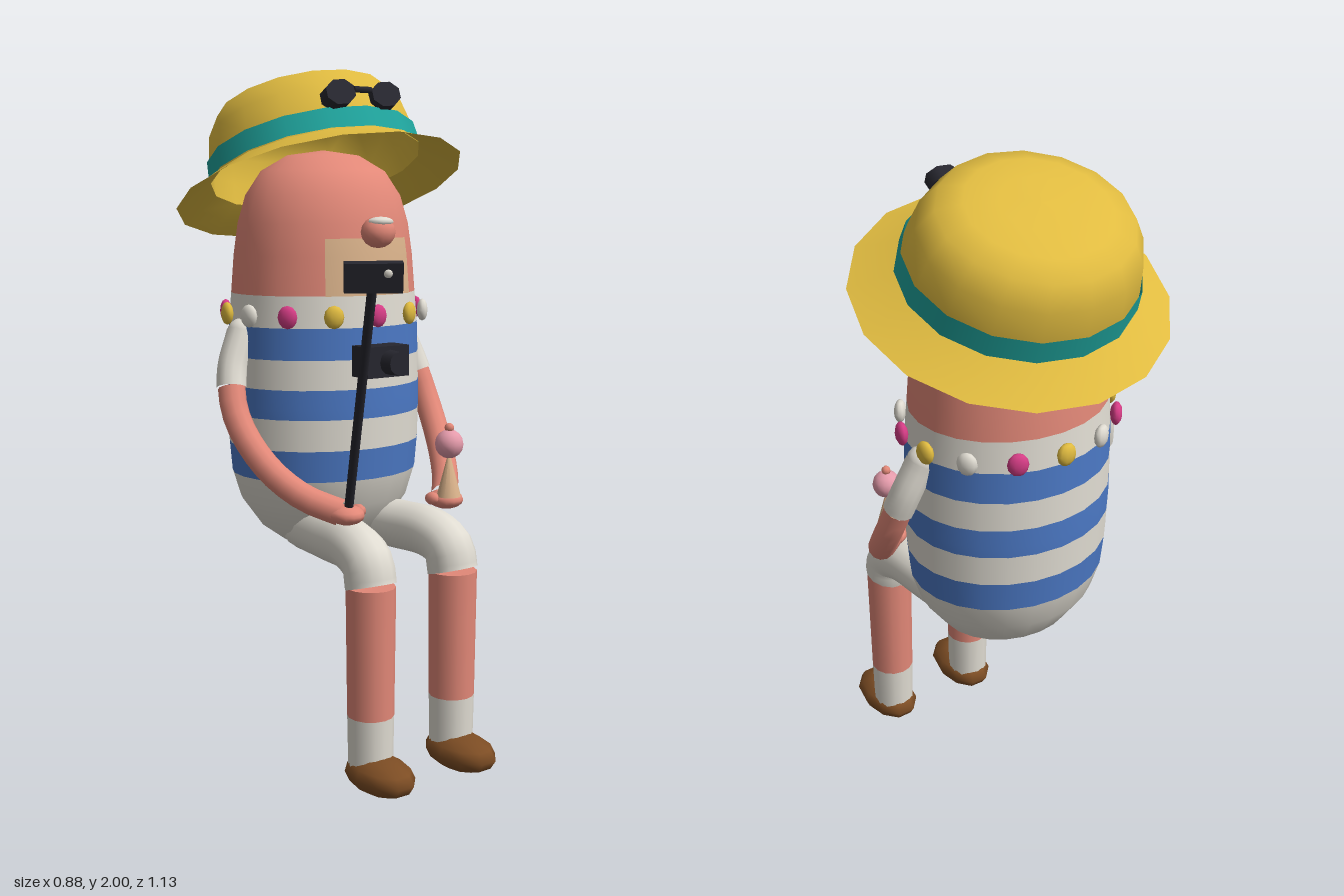
import * as THREE from 'three';

const mat = (name, color, side = THREE.FrontSide) => {
  const m = new THREE.MeshStandardMaterial({ color, side });
  m.name = name;
  return m;
};

export function createModel() {
  const straw = mat('straw yellow', 0xe0bb40, THREE.DoubleSide);
  const teal = mat('teal', 0x1fa39c, THREE.DoubleSide);
  const skin = mat('sunburnt skin', 0xe28878);
  const white = mat('off white', 0xe0dcd2);
  const blue = mat('stripe blue', 0x4b78c4);
  const dark = mat('near black', 0x26262e);
  const brown = mat('shoe brown', 0x7d4d24);
  const magenta = mat('flower pink', 0xd63d86);
  const tan = mat('tan', 0xdcb48c, THREE.DoubleSide);
  const icePink = mat('ice cream pink', 0xe59bab);

  const model = new THREE.Group();
  const V = (x, y, z) => new THREE.Vector3(x, y, z);

  const add = (name, geo, material, pos = [0, 0, 0], parent = model) => {
    const mesh = new THREE.Mesh(geo, material);
    mesh.name = name;
    mesh.position.set(...pos);
    parent.add(mesh);
    return mesh;
  };
  const ball = (name, material, pos, size, parent = model, seg = 14) => {
    const mesh = add(name, new THREE.SphereGeometry(1, seg, Math.max(6, seg * 0.6 | 0)), material, pos, parent);
    mesh.scale.set(...size);
    return mesh;
  };
  const lathe = (pts, seg, start = 0, sweep = Math.PI * 2) =>
    new THREE.LatheGeometry(pts.map(p => new THREE.Vector2(...p)), seg, start, sweep);

  // A tube along part of a curve
  const tubePart = (curve, t0, t1, radius) => {
    const pts = [];
    for (let i = 0; i <= 8; i++) pts.push(curve.getPoint(t0 + (t1 - t0) * i / 8));
    return new THREE.TubeGeometry(new THREE.CatmullRomCurve3(pts), 12, radius, 12);
  };
  // A straight rod between two points
  const rod = (name, a, b, radius, material, parent = model) => {
    const d = b.clone().sub(a);
    const mesh = add(name, new THREE.CylinderGeometry(radius, radius, d.length(), 8), material,
      a.clone().add(b).multiplyScalar(0.5).toArray(), parent);
    mesh.quaternion.setFromUnitVectors(V(0, 1, 0), d.normalize());
    return mesh;
  };

  // Body: one profile [radius, height] cut into coloured bands
  const profile = [[0, 0.59], [0.06, 0.598], [0.13, 0.625], [0.2, 0.675], [0.262, 0.76], [0.287, 0.84],
    [0.295, 0.93], [0.298, 1.05], [0.295, 1.19], [0.292, 1.28], [0.284, 1.37], [0.275, 1.48],
    [0.262, 1.57], [0.238, 1.65], [0.19, 1.72], [0.11, 1.765], [0, 1.78]];
  const radiusAt = y => {
    const i = Math.max(1, profile.findIndex(p => p[1] >= y));
    const [r0, y0] = profile[i - 1], [r1, y1] = profile[i];
    return r0 + (r1 - r0) * (y - y0) / (y1 - y0);
  };
  const slice = (y0, y1, grow = 0) => [[radiusAt(y0) + grow, y0],
    ...profile.filter(p => p[1] > y0 && p[1] < y1).map(p => [p[0] + grow, p[1]]),
    [radiusAt(y1) + grow, y1]];

  const body = new THREE.Group();
  body.name = 'body';
  body.position.z = -0.175;
  body.scale.z = 0.87;
  model.add(body);
  [['trunks', 0.59, 0.84, white], ['lowStripe', 0.84, 0.93, blue], ['lowGap', 0.93, 1.02, white],
    ['middleStripe', 1.02, 1.105, blue], ['upperGap', 1.105, 1.19, white], ['topStripe', 1.19, 1.28, blue],
    ['collar', 1.28, 1.37, white], ['head', 1.37, 1.78, skin]]
    .forEach(([name, y0, y1, m]) => add(name, lathe(slice(y0, y1), 24), m, [0, 0, 0], body));
  add('chinPatch', lathe(slice(1.37, 1.53, 0.01), 8, -0.53, 1.06), tan, [0, 0, 0], body);

  // Flower garland
  const flowers = [magenta, icePink, white];
  flowers[1] = straw;
  for (let i = 0; i < 14; i++) {
    const a = i / 14 * Math.PI * 2;
    ball('garlandFlower', flowers[i % 3], [0.308 * Math.sin(a), 1.313, -0.173 + 0.266 * Math.cos(a)],
      [0.029, 0.033, 0.017], model, 10).rotation.y = a;
  }

  // Nose with a dab of sun cream
  ball('nose', skin, [0, 1.548, 0.093], [0.052, 0.045, 0.045]);
  ball('sunCream', white, [0, 1.577, 0.103], [0.04, 0.014, 0.033], model, 10);

  // Sun hat, tilted back
  const hat = new THREE.Group();
  hat.name = 'hat';
  hat.position.set(0, 1.67, -0.187);
  hat.rotation.x = -0.384;
  model.add(hat);
  const shell = new THREE.Group();
  shell.name = 'hatShell';
  shell.scale.set(1.09, 1, 1);
  hat.add(shell);
  add('brim', lathe([[0.403, 0], [0.35, 0.028], [0.297, 0.062]], 16), straw, [0, 0, 0], shell);
  add('crown', lathe([[0.297, 0.06], [0.289, 0.125], [0.275, 0.2], [0.24, 0.262], [0.18, 0.287],
    [0.1, 0.298], [0, 0.302]], 16), straw, [0, 0, 0], shell);
  add('hatBand', lathe([[0.301, 0.064], [0.295, 0.126]], 16), teal, [0, 0, 0], shell);

  // Sunglasses resting on the crown
  const glasses = new THREE.Group();
  glasses.name = 'sunglasses';
  glasses.position.set(0, 0.163, 0.287);
  glasses.rotation.x = -0.12;
  hat.add(glasses);
  for (const s of [-1, 1]) {
    const lens = add('lens', new THREE.CylinderGeometry(1, 1, 0.035, 8), dark, [s * 0.079, 0, -0.008], glasses);
    lens.rotation.set(Math.PI / 2, Math.PI / 8, 0);
    lens.scale.set(0.056, 1, 0.04);
  }
  rod('bridge', V(-0.03, 0.012, 0.006), V(0.03, 0.012, 0.006), 0.009, dark, glasses);

  // Camera on the chest
  add('cameraBody', new THREE.BoxGeometry(0.145, 0.088, 0.075), dark, [-0.006, 1.188, 0.113]);
  add('cameraLens', new THREE.CylinderGeometry(0.033, 0.036, 0.045, 12), dark, [0, 1.186, 0.17]).rotation.x = Math.PI / 2;

  for (const s of [-1, 1]) {
    // Arm with short sleeve
    const arm = new THREE.CatmullRomCurve3([V(s * 0.282, 1.26, -0.185), V(s * 0.328, 1.15, -0.165),
      V(s * 0.345, 1.03, -0.115), V(s * 0.315, 0.9, -0.01), V(s * 0.255, 0.82, 0.09), V(s * 0.185, 0.782, 0.17)]);
    ball('shoulder', white, [s * 0.282, 1.26, -0.185], [0.042, 0.042, 0.042]);
    add('sleeve', tubePart(arm, 0, 0.27, 0.043), white);
    add('forearm', tubePart(arm, 0.27, 1, 0.039), skin);
    ball('hand', skin, [s * 0.178, 0.778, 0.185], [0.05, 0.028, 0.055]);
    ball('thumb', skin, [s * 0.133, 0.783, 0.18], [0.019, 0.019, 0.026], model, 8);

    // Bent leg: trouser, bare shin, sock, shoe
    const thigh = new THREE.CatmullRomCurve3([V(s * 0.1, 0.68, -0.13), V(s * 0.125, 0.682, 0.04),
      V(s * 0.14, 0.678, 0.17), V(s * 0.146, 0.645, 0.24), V(s * 0.147, 0.585, 0.257)]);
    add('trouserLeg', new THREE.TubeGeometry(thigh, 20, 0.073, 14), white);
    ball('hip', white, [s * 0.1, 0.68, -0.13], [0.073, 0.073, 0.073]);
    add('shin', new THREE.CylinderGeometry(0.07, 0.066, 0.37, 14), skin, [s * 0.147, 0.4, 0.257]);
    add('sock', new THREE.CylinderGeometry(0.066, 0.063, 0.16, 14), white, [s * 0.147, 0.138, 0.257]);
    ball('shoe', brown, [s * 0.147, 0.053, 0.3], [0.082, 0.053, 0.13], model, 10).rotation.y = s * 0.02;
  }

  // Selfie stick and phone in the right hand
  rod('selfieStick', V(-0.175, 0.785, 0.19), V(-0.32, 1.44, 0.495), 0.0125, dark);
  const phone = new THREE.Group();
  phone.name = 'phone';
  phone.position.set(-0.33, 1.453, 0.51);
  phone.rotation.set(0.24, -0.56, 0, 'YXZ');
  model.add(phone);
  add('phoneCase', new THREE.BoxGeometry(0.145, 0.075, 0.026), dark, [0, 0, 0.004], phone);
  add('phoneScreen', new THREE.BoxGeometry(0.135, 0.068, 0.008), teal, [0, 0, -0.013], phone);
  ball('phoneLens', white, [0.035, 0.012, 0.017], [0.011, 0.011, 0.006], phone, 8);

  // Ice cream in the left hand
  add('iceCreamCone', new THREE.ConeGeometry(0.036, 0.135, 12), tan, [0.173, 0.857, 0.205]);
  ball('scoop', icePink, [0.173, 0.943, 0.205], [0.042, 0.042, 0.042]);
  ball('cherry', skin, [0.173, 0.99, 0.205], [0.014, 0.014, 0.014], model, 8);

  return model;
}
